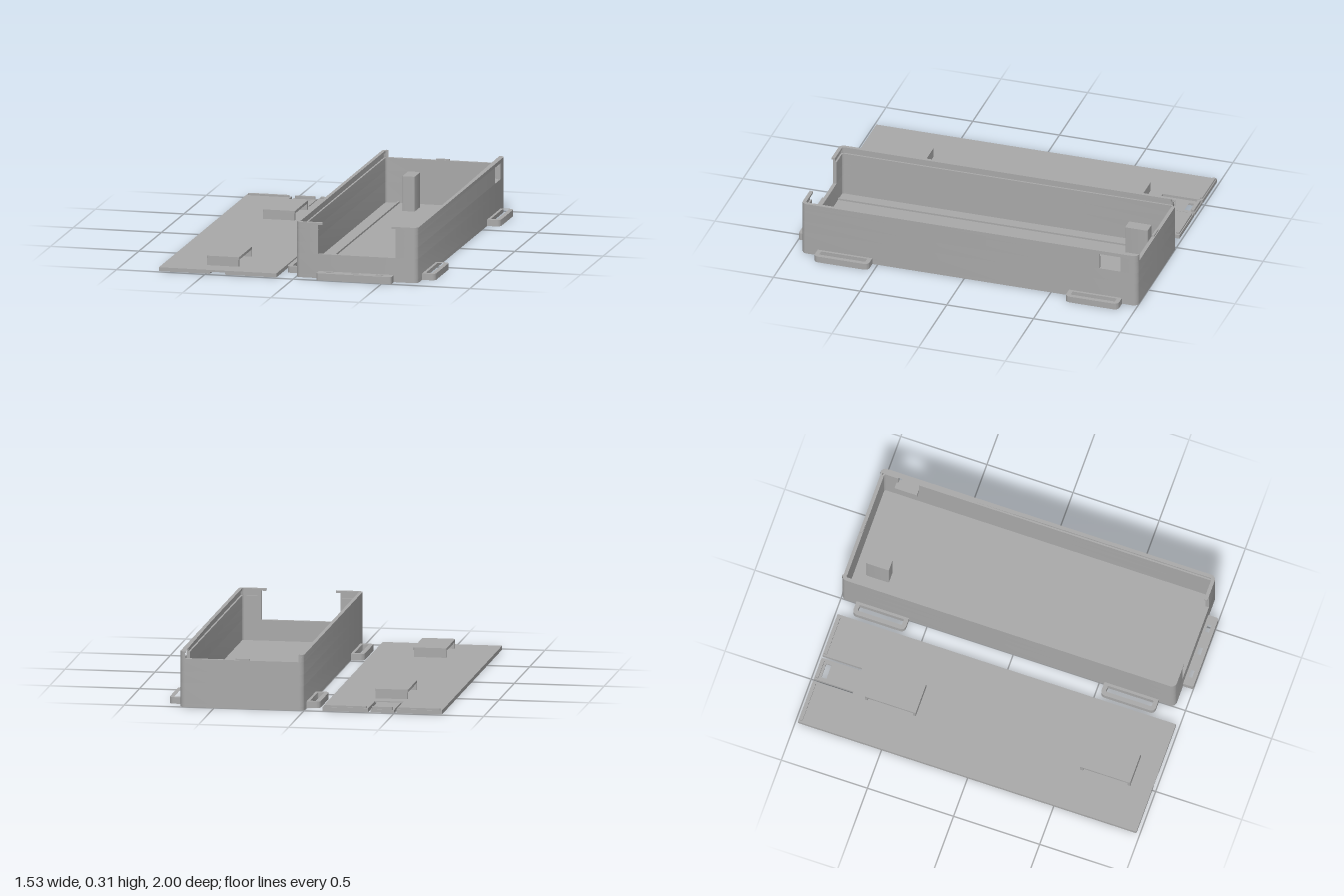
import * as THREE from 'three';
import { toCreasedNormals } from 'three/addons/utils/BufferGeometryUtils.js';

const grey = new THREE.MeshStandardMaterial({ color: 0xa8a8a8 });
grey.name = 'grey plastic';

// Plan outlines are lists of [x, z]; they are extruded upwards from y0 to y1.
const toVec = (pts) => pts.map(([x, z]) => new THREE.Vector2(x, -z));

function slab(parent, name, outline, y0, y1, holes = []) {
  const shape = new THREE.Shape(toVec(outline));
  holes.forEach((h) => shape.holes.push(new THREE.Path(toVec(h))));
  let geo = new THREE.ExtrudeGeometry(shape, { depth: y1 - y0, bevelEnabled: false });
  geo.rotateX(-Math.PI / 2);
  geo.translate(0, y0, 0);
  geo = toCreasedNormals(geo, 0.6);
  const mesh = new THREE.Mesh(geo, grey);
  mesh.name = name;
  parent.add(mesh);
}

function block(parent, name, x0, x1, y0, y1, z0, z1) {
  const mesh = new THREE.Mesh(new THREE.BoxGeometry(x1 - x0, y1 - y0, z1 - z0), grey);
  mesh.position.set((x0 + x1) / 2, (y0 + y1) / 2, (z0 + z1) / 2);
  mesh.name = name;
  parent.add(mesh);
}

function arc(cx, cz, r, a0, a1, n = 6) {
  return Array.from({ length: n + 1 }, (_, i) => {
    const a = a0 + ((a1 - a0) * i) / n;
    return [cx + r * Math.cos(a), cz + r * Math.sin(a)];
  });
}

const H = Math.PI / 2;
const rect = (x0, x1, z0, z1) => [[x0, z0], [x1, z0], [x1, z1], [x0, z1]];
const rounded = (x0, x1, z0, z1, r) => [
  ...arc(x1 - r, z1 - r, r, 0, H), ...arc(x0 + r, z1 - r, r, H, 2 * H),
  ...arc(x0 + r, z0 + r, r, 2 * H, 3 * H), ...arc(x1 - r, z0 + r, r, 3 * H, 4 * H),
];

// Box plan
const W = 0.69, FRONT = 0.94, BACK = -1, R = 0.03, MID = W / 2;
const mirrorX = (pts) => pts.map(([x, z]) => [W - x, z]);

// Right half of the wall ring: t is thickness, xf and xb where it stops at front and back
function halfWall(t, xf, xb, windowed) {
  const c = W - R, ri = R - t;
  const outerFront = [[xf, FRONT], ...arc(c, FRONT - R, R, H, 0)];
  const outerBack = [...arc(c, BACK + R, R, 0, -H), [xb, BACK]];
  const innerBack = [[xb, BACK + t], ...arc(c, BACK + R, ri, -H, 0)];
  const innerFront = [...arc(c, FRONT - R, ri, 0, H), [xf, FRONT - t]];
  if (!windowed) return [[...outerFront, ...outerBack, ...innerBack, ...innerFront]];
  return [
    [...outerFront, [W, -0.78], [W - t, -0.78], ...innerFront],
    [[W, -0.9], ...outerBack, ...innerBack, [W - t, -0.9]],
  ];
}

function makeBox() {
  const box = new THREE.Group();
  box.name = 'box';
  slab(box, 'floor', rounded(0, W, BACK, FRONT, R), 0, 0.02);

  // Walls, layer by layer: front cutout, side window, lid groove and overhanging lip
  const layers = [
    { y: [0.02, 0.135], t: 0.02, xf: MID, xb: MID },
    { y: [0.135, 0.2], t: 0.02, xf: 0.565, xb: MID },
    { y: [0.2, 0.27], t: 0.02, xf: 0.565, xb: MID, window: true },
    { y: [0.27, 0.29], t: 0.01, xf: 0.565, xb: 0.675, window: true },
    { y: [0.29, 0.298], t: 0.01, xf: 0.565, xb: 0.675 },
    { y: [0.298, 0.31], t: 0.02, xf: 0.54, xb: 0.67 },
  ];
  for (const { y, t, xf, xb, window } of layers) {
    halfWall(t, xf, xb, window).forEach((p) => slab(box, 'rightWall', p, ...y));
    halfWall(t, xf, xb, false).forEach((p) => slab(box, 'leftWall', mirrorX(p), ...y));
  }

  // Inside fittings
  block(box, 'floorRidge', 0.09, 0.1, 0.02, 0.03, -0.98, 0.92);
  slab(box, 'post', rounded(0.165, 0.235, -0.91, -0.78, 0.006), 0.02, 0.215);
  block(box, 'windowLedge', 0.635, 0.67, 0.17, 0.2, -0.91, -0.78);
  block(box, 'latchNub', 0.305, 0.38, 0.262, 0.278, -0.995, -0.982);

  // Strap loops on both sides
  for (const [z0, z1] of [[-0.91, -0.605], [0.53, 0.845]]) {
    const ring = [
      [W - 0.005, z0], ...arc(0.74, z0 + 0.025, 0.025, -H, 0),
      ...arc(0.74, z1 - 0.025, 0.025, 0, H), [W - 0.005, z1],
    ];
    const slot = rounded(0.705, 0.74, z0 + 0.025, z1 - 0.025, 0.006);
    slab(box, 'rightStrapLoop', ring, 0, 0.036, [slot]);
    slab(box, 'leftStrapLoop', mirrorX(ring), 0, 0.036, [mirrorX(slot)]);
  }

  // Front tab with three holes
  slab(box, 'frontTab', rounded(0.13, 0.555, 0.935, 1, 0.012), 0, 0.04,
    [0.2, 0.34, 0.48].map((x) => rect(x - 0.021, x + 0.021, 0.955, 0.976)));
  return box;
}

function makeLid() {
  const lid = new THREE.Group();
  lid.name = 'slidingLid';
  const x0 = -0.765, x1 = -0.1, zb = -0.985, zf = 0.98;
  const c0 = -0.476, c1 = -0.39; // channel under the lid
  const s0 = -0.512, s1 = -0.355; // outer sides of the latch slots
  const t0 = -0.498, t1 = -0.368; // latch tongue
  const zs = -0.735;

  // Lower layer is split by the channel, upper layer closes it
  slab(lid, 'lidLowerLeft', [[x0, zb], [s0, zb], [s0, zs], [t0, zs], [t0, zb], [c0, zb], [c0, zf], [x0, zf]], 0, 0.012);
  slab(lid, 'lidLowerRight', [[x1, zb], [s1, zb], [s1, zs], [t1, zs], [t1, zb], [c1, zb], [c1, zf], [x1, zf]], 0, 0.012);
  block(lid, 'channelEnd', c0, c1, 0, 0.012, zb, -0.95);
  slab(lid, 'lidUpper',
    [[x0, zb], [s0, zb], [s0, -0.755], [s1, -0.755], [s1, zb], [x1, zb], [x1, zf], [x0, zf]], 0.012, 0.022,
    []);
  slab(lid, 'latchTongue', rect(t0, t1, zb, -0.755), 0.012, 0.016, [rect(c0, c1, -0.95, -0.92)]);

  // Raised bars on the back edge
  for (const [a, b] of [[-0.755, -0.522], [-0.49, -0.375], [-0.345, -0.11]]) {
    slab(lid, 'edgeBar', rounded(a, b, -0.98, -0.963, 0.006), 0.014, 0.032);
  }

  // Bridges open at the sides
  for (const [z0, z1] of [[-0.68, -0.385], [0.57, 0.86]]) {
    const bridge = new THREE.Group();
    bridge.name = 'bridge';
    slab(bridge, 'bridgeTop', rounded(-0.525, -0.342, z0, z1, 0.006), 0.06, 0.075);
    block(bridge, 'bridgeLeg', -0.523, -0.344, 0.02, 0.062, z0, z0 + 0.016);
    block(bridge, 'bridgeLeg', -0.523, -0.344, 0.02, 0.062, z1 - 0.016, z1);
    lid.add(bridge);
  }
  return lid;
}

export function createModel() {
  const model = new THREE.Group();
  model.name = 'boxWithLid';
  model.add(makeBox(), makeLid());
  return model;
}
